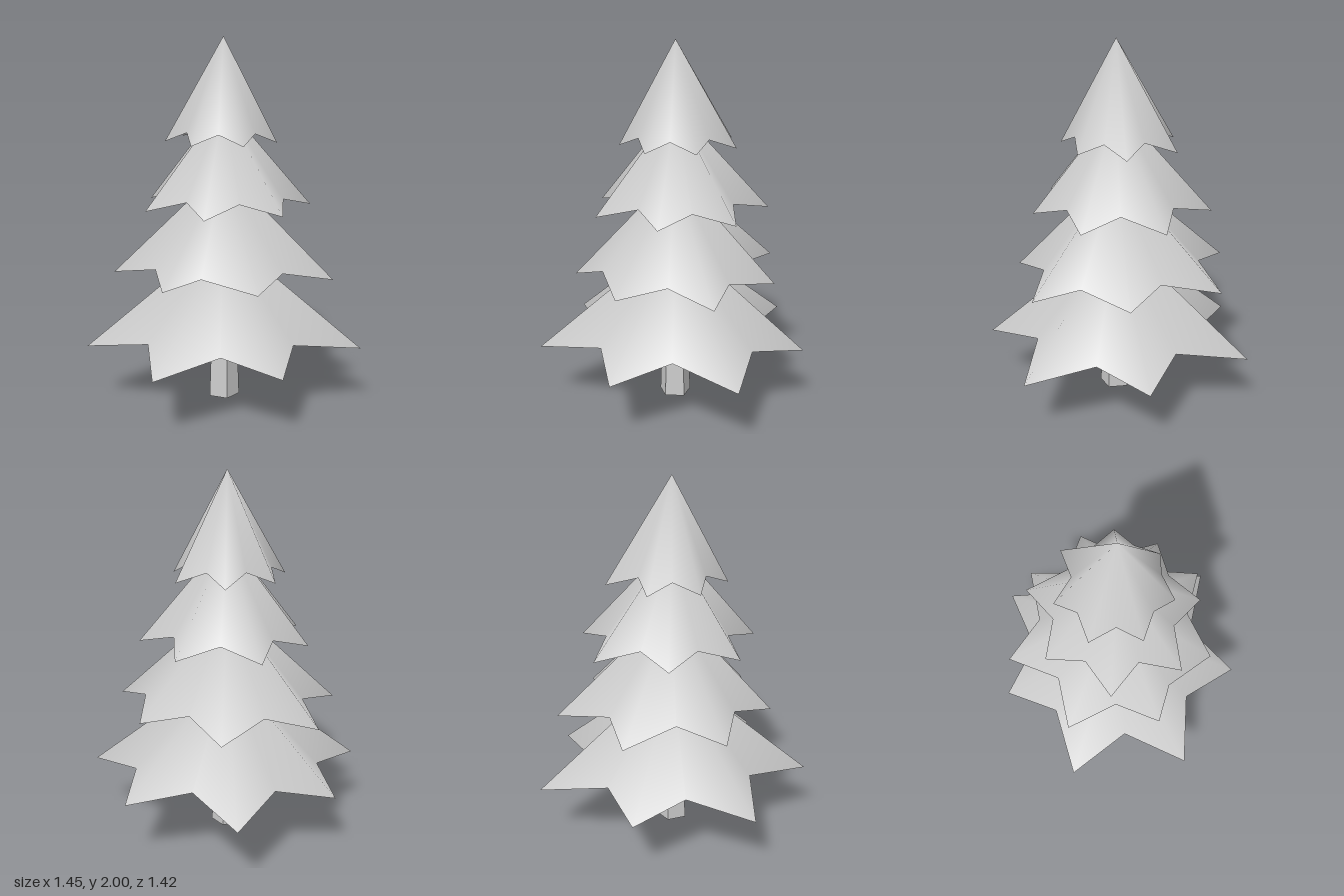
import * as THREE from 'three';

const AXIS_X = 0.015;

// Star-edged drooping skirt: rim alternates tip, valley around an apex
function skirt(apexY, tipY, valleyY, rim) {
  const pos = [AXIS_X, apexY, 0];
  const index = [];
  const n = rim.length;
  rim.forEach(([x, z], i) => {
    pos.push(x, i % 2 ? valleyY : tipY, z);
    index.push(0, 1 + (i + 1) % n, 1 + i);
  });
  const geo = new THREE.BufferGeometry();
  geo.setAttribute('position', new THREE.Float32BufferAttribute(pos, 3));
  geo.setIndex(index);
  geo.computeVertexNormals();
  return geo;
}

// Tiers from bottom to top; rims run clockwise seen from above, tip first
const tiers = [
  { name: 'bottomBranches', apex: 0.93, tip: 0.33, valley: 0.39, rim: [
    [0.35, -0.71], [0.40, -0.32], [0.72, -0.175], [0.535, 0.10], [0.625, 0.47], [0.23, 0.43], [0.02, 0.71],
    [-0.20, 0.445], [-0.58, 0.47], [-0.47, 0.10], [-0.725, -0.175], [-0.375, -0.325], [-0.285, -0.635], [0.015, -0.515]] },
  { name: 'lowerBranches', apex: 1.3, tip: 0.725, valley: 0.78, rim: [
    [0.355, -0.555], [0.37, -0.235], [0.58, -0.075], [0.43, 0.18], [0.465, 0.43], [0.18, 0.39], [-0.04, 0.545],
    [-0.255, 0.325], [-0.455, 0.29], [-0.40, 0.04], [-0.55, -0.21], [-0.285, -0.30], [-0.19, -0.60], [0.05, -0.455]] },
  { name: 'upperBranches', apex: 1.65, tip: 1.095, valley: 1.15, rim: [
    [0.10, -0.51], [0.22, -0.30], [0.455, -0.255], [0.35, -0.025], [0.46, 0.175], [0.25, 0.255], [0.15, 0.44],
    [-0.035, 0.31], [-0.26, 0.375], [-0.26, 0.145], [-0.445, 0.02], [-0.285, -0.135], [-0.28, -0.35], [-0.07, -0.335]] },
  { name: 'topBranches', apex: 2, tip: 1.445, valley: 1.5, rim: [
    [0.20, -0.315], [0.215, -0.145], [0.35, -0.055], [0.245, 0.06], [0.24, 0.195], [0.10, 0.215], [-0.005, 0.295],
    [-0.10, 0.195], [-0.24, 0.16], [-0.205, 0.02], [-0.28, -0.11], [-0.15, -0.18], [-0.095, -0.31], [0.035, -0.235]] },
];

export function createModel() {
  const tree = new THREE.Group();
  tree.name = 'tree';
  const grey = new THREE.MeshStandardMaterial({ color: 0xcccccc, side: THREE.DoubleSide });
  grey.name = 'light grey';

  for (const t of tiers) {
    const mesh = new THREE.Mesh(skirt(t.apex, t.tip, t.valley, t.rim), grey);
    mesh.name = t.name;
    tree.add(mesh);
  }

  // Five-sided tapering trunk with flat faces
  const height = 1.58;
  const trunkGeo = new THREE.CylinderGeometry(0.035, 0.09, height, 5, 1, false, -0.17).toNonIndexed();
  trunkGeo.computeVertexNormals();
  const trunk = new THREE.Mesh(trunkGeo, grey);
  trunk.name = 'trunk';
  trunk.position.set(AXIS_X, height / 2, 0);
  tree.add(trunk);
  return tree;
}
